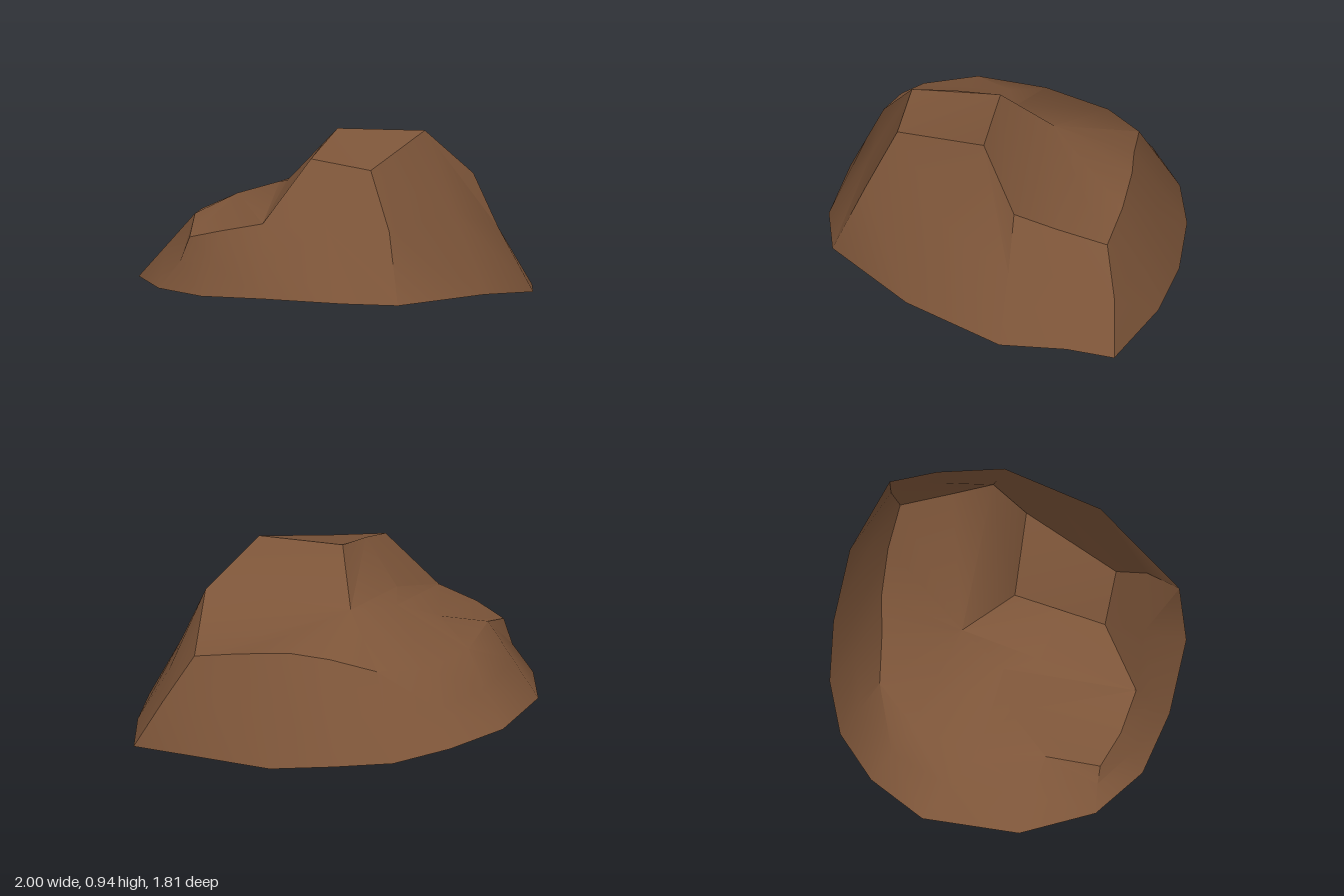
import * as THREE from 'three';
import { toCreasedNormals } from 'three/addons/utils/BufferGeometryUtils.js';

// Bottom outline of the rock, running left side -> back -> right side -> front
const rim = [
  [-1, .175, .14], [-.96, .165, -.36], [-.76, .13, -.64], [-.51, .085, -.82],
  [-.22, .065, -.9], [.12, .025, -.91], [.51, .035, -.86], [.91, 0, -.69],
  [.96, .065, -.45], [1, .085, -.11], [.8, .155, .4], [.4, .165, .84],
  [.12, .18, .9], [-.29, .19, .85], [-.62, .18, .74], [-.86, .18, .52],
];

// Upper edge of the sides, one point above each rim point
const shoulder = [
  [-.7, .525, .25], [-.7, .49, -.1], [-.58, .475, -.44], [-.37, .505, -.63],
  [-.12, .55, -.64], [.08, .57, -.66], [.35, .54, -.65], [.61, .49, -.61],
  [.655, .595, -.35], [.69, .69, -.14], [.46, .94, .05], [.23, .81, .53],
  [-.08, .86, .5], [-.31, .55, .68], [-.53, .5, .62], [-.7, .45, .53],
];

// Halfway points of the sides that stray from a straight slope, by column
const bends = {
  7: [.76, .25, -.67], 9: [.82, .41, -.13], 11: [.34, .52, .68],
  12: [.02, .52, .69], 15: [-.75, .32, .52],
};

// Points inside the shoulder
const peak = [.01, .94, .03];
const peakEdge = [-.04, .905, .28];
const notch = [-.11, .685, -.23];
const wallFoot = [-.235, .69, .18];
const ledgeInner = [-.29, .655, 0];
const ledgeOuter = [-.5, .6, .05];

// Builds a surface from triangles, turning each one to face up or down
function surface(triangles, facing) {
  const points = [];
  for (const t of triangles) {
    const [a, b, c] = t.map((p) => new THREE.Vector3(...p));
    const normal = b.clone().sub(a).cross(c.clone().sub(a));
    const ordered = normal.y * facing >= 0 ? [a, b, c] : [a, c, b];
    points.push(...ordered);
  }
  const geometry = new THREE.BufferGeometry().setFromPoints(points);
  geometry.computeVertexNormals();
  return toCreasedNormals(geometry, 0.56);
}

// Triangles from one centre to each pair of neighbours on a path
function fan(centre, path) {
  return path.slice(1).map((p, i) => [centre, path[i], p]);
}

export function createModel() {
  const brown = new THREE.MeshStandardMaterial({ color: 0x7d5539, side: THREE.DoubleSide });
  const group = new THREE.Group();
  group.name = 'rock';
  const s = shoulder;

  // Sides: rim, middle, shoulder
  const middle = rim.map((r, i) => bends[i] ?? r.map((v, k) => (v + s[i][k]) / 2));
  const shell = [];
  for (const [low, high] of [[rim, middle], [middle, s]]) {
    for (let i = 0; i < rim.length; i++) {
      const j = (i + 1) % rim.length;
      shell.push([low[i], low[j], high[j]], [low[i], high[j], high[i]]);
    }
  }

  // Peak facet, the slope behind it and the wall down to the ledge
  shell.push(...fan(peak, [s[10], s[11], s[12], peakEdge]));
  shell.push(...fan(peak, [s[10], s[9], notch]));
  shell.push(...fan(peakEdge, [peak, notch, wallFoot, s[13], s[12]]));

  // Back slope
  shell.push(...fan(notch, s.slice(2, 10)));

  // Ledge on the low side
  shell.push(...fan(ledgeOuter, [ledgeInner, s[13], s[14], s[15], s[0], s[1], ledgeInner]));
  shell.push(...fan(ledgeInner, [s[1], s[2], notch, wallFoot, s[13]]));

  const body = new THREE.Mesh(surface(shell, 1), brown);
  body.name = 'rockShell';
  group.add(body);

  // Underside closes only the low half, the rest stays hollow
  const edge = [rim[14], rim[15], ...rim.slice(0, 6)];
  const base = new THREE.Mesh(surface(fan(rim[13], edge), -1), brown);
  base.name = 'underside';
  group.add(base);

  return group;
}
